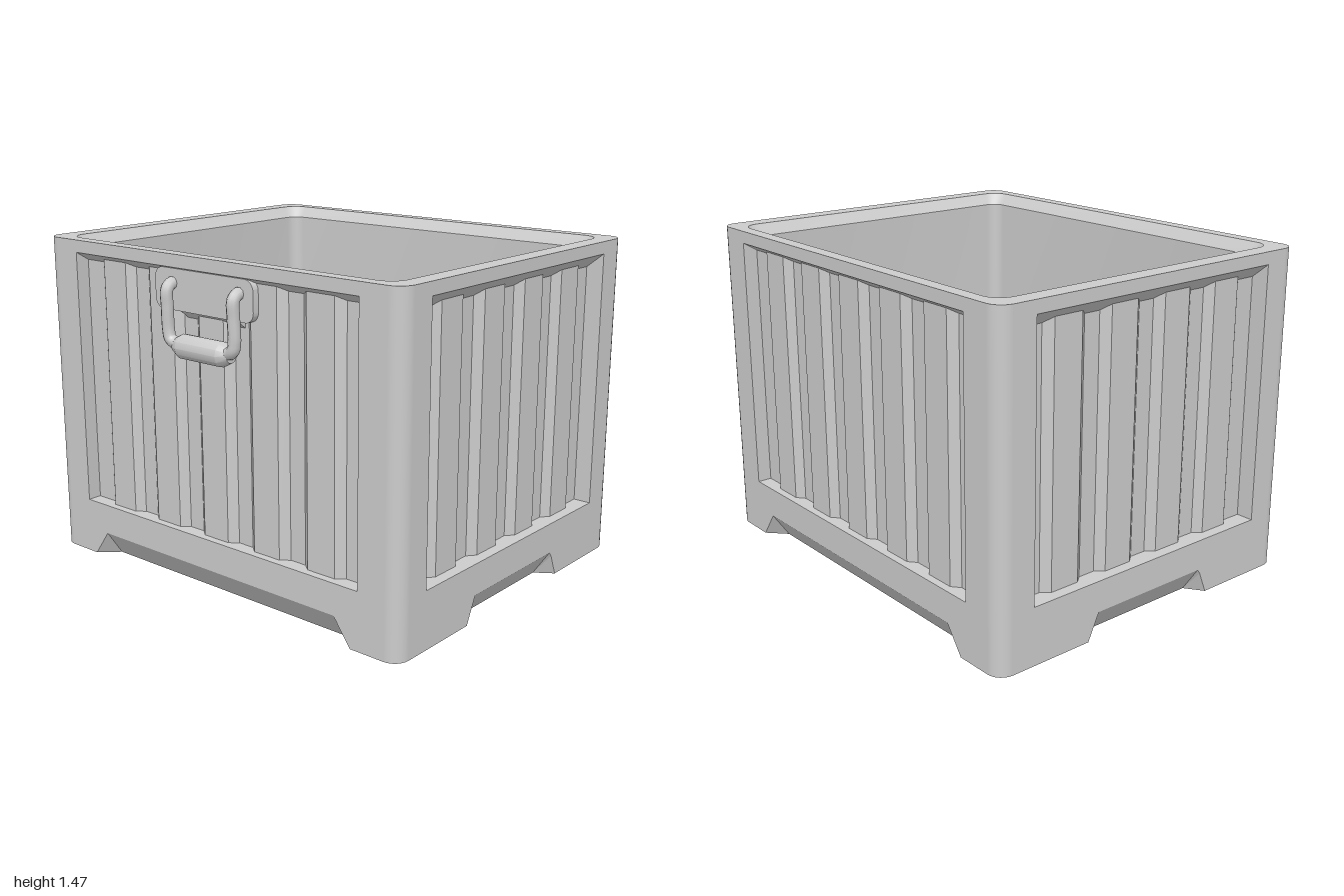
import * as THREE from 'three';
import { toCreasedNormals } from 'three/addons/utils/BufferGeometryUtils.js';

const HX = 1, HZ = 0.8175, H = 1.465, R = 0.07, ZC = -0.0325;
const PANEL_B = 0.255, PANEL_T = 1.41, NOTCH_H = 0.117, NOTCH_D = 0.08;
const mat = new THREE.MeshStandardMaterial({ color: 0xcccccc });

// The two wall types: half width, distance from centre, panel, ribs and foot notch
const LONG = { half: HX, dist: HZ, panel: 0.8, ribs: 5, deep: 0.065, rib: 0.035, slope: 0.6, w0: 0.765, w1: 0.68 };
const SHORT = { half: HZ, dist: HX, panel: 0.64, ribs: 4, deep: 0.08, rib: 0.05, slope: 0.8, w0: 0.35, w1: 0.295 };
const WALLS = [['front', LONG], ['left', SHORT], ['back', LONG], ['right', SHORT]];

function mesh(name, geo) {
  const m = new THREE.Mesh(geo, mat);
  m.name = name;
  return m;
}

// Flat polygons (3 or 4 corners, counter-clockwise from the front) to a geometry
function faces(list) {
  const pos = [];
  for (const f of list) for (let i = 1; i < f.length - 1; i++) pos.push(...f[0], ...f[i], ...f[i + 1]);
  const g = new THREE.BufferGeometry();
  g.setAttribute('position', new THREE.Float32BufferAttribute(pos, 3));
  g.computeVertexNormals();
  return g;
}

// Rounded rectangle as [x, z] points, optionally with the foot notches cut out
function loop(hx, hz, r, notched) {
  const pts = [];
  WALLS.forEach(([, w], k) => {
    const a = k * Math.PI / 2, [U, V] = k % 2 ? [hz, hx] : [hx, hz];
    const add = (u, v) => pts.push([u * Math.cos(a) + v * Math.sin(a), -u * Math.sin(a) + v * Math.cos(a)]);
    if (notched) {
      add(-w.w0, V); add(-w.w1, V - NOTCH_D); add(w.w1, V - NOTCH_D); add(w.w0, V);
    }
    for (let i = 0; i <= 6; i++) {
      const t = i * Math.PI / 12;
      add(U - r + r * Math.sin(t), V - r + r * Math.cos(t));
    }
  });
  return pts;
}
const toVectors = pts => pts.map(([x, z]) => new THREE.Vector2(x, z));

// One outer wall, built facing +z
function wall(name, w) {
  const g = new THREE.Group();
  g.name = name + 'Wall';
  const e = w.half - R, p = w.panel;

  // Flat frame with panel opening and foot notch
  const s = new THREE.Shape(toVectors([[-e, 0], [-w.w0, 0], [-w.w1 - 0.015, NOTCH_H - 0.02], [-w.w1, NOTCH_H],
    [w.w1, NOTCH_H], [w.w1 + 0.015, NOTCH_H - 0.02], [w.w0, 0], [e, 0], [e, H], [-e, H]]));
  s.holes.push(new THREE.Path(toVectors([[-p, PANEL_B], [-p, PANEL_T], [p, PANEL_T], [p, PANEL_B]])));
  g.add(mesh('wallFrame', new THREE.ShapeGeometry(s)));

  // Corrugated panel with sloping soffit, ledge and side reveals
  const prof = [[-p, w.deep]];
  for (let i = 0; i < w.ribs; i++) {
    const c = (i - (w.ribs - 1) / 2) * 0.293;
    prof.push([c - 0.107, w.deep], [c - 0.07, w.rib], [c + 0.07, w.rib], [c + 0.107, w.deep]);
  }
  prof.push([p, w.deep]);
  const top = d => PANEL_T - d * w.slope;
  const panel = [], edge = [];
  for (let i = 0; i < prof.length - 1; i++) {
    const [a, da] = prof[i], [b, db] = prof[i + 1];
    panel.push([[a, PANEL_B, -da], [b, PANEL_B, -db], [b, top(db), -db], [a, top(da), -da]]);
    edge.push([[a, PANEL_T, 0], [a, top(da), -da], [b, top(db), -db], [b, PANEL_T, 0]]);
    edge.push([[a, PANEL_B, 0], [b, PANEL_B, 0], [b, PANEL_B, -db], [a, PANEL_B, -da]]);
  }
  for (const sx of [-1, 1]) {
    const q = [[sx * p, PANEL_B, 0], [sx * p, PANEL_B, -w.deep], [sx * p, top(w.deep), -w.deep], [sx * p, PANEL_T, 0]];
    edge.push(sx < 0 ? q : q.reverse());
  }
  g.add(mesh('corrugatedPanel', faces(panel)), mesh('panelReveal', faces(edge)));

  // Sloping back and ends of the foot notch
  const notch = [[[-w.w1, 0, -NOTCH_D], [w.w1, 0, -NOTCH_D], [w.w1, NOTCH_H, 0], [-w.w1, NOTCH_H, 0]]];
  for (const sx of [-1, 1]) {
    const t = [[sx * w.w0, 0, 0], [sx * w.w1, 0, -NOTCH_D], [sx * w.w1, NOTCH_H, 0],
      [sx * (w.w1 + 0.015), NOTCH_H - 0.02, 0]];
    notch.push(sx < 0 ? t : t.reverse());
  }
  g.add(mesh('footNotch', faces(notch)));
  return g;
}

function createHandle() {
  const g = new THREE.Group();
  g.name = 'handle';

  // Backing plate with rounded corners, set in the panel recess
  const x0 = -0.294, x1 = 0.267, y0 = 1.23, y1 = 1.405, r = 0.045;
  const s = new THREE.Shape();
  s.absarc(x1 - r, y1 - r, r, 0, Math.PI / 2);
  s.absarc(x0 + r, y1 - r, r, Math.PI / 2, Math.PI);
  s.absarc(x0 + r, y0 + r, r, Math.PI, Math.PI * 1.5);
  s.absarc(x1 - r, y0 + r, r, Math.PI * 1.5, Math.PI * 2);
  const plate = new THREE.ExtrudeGeometry(s, { depth: 0.07, bevelEnabled: false, curveSegments: 6 });
  plate.translate(0, 0, 0.71);
  g.add(mesh('handlePlate', toCreasedNormals(plate, 0.6)));

  // Sloping lip under the plate
  const lip = new THREE.ExtrudeGeometry(new THREE.Shape(toVectors([[-0.775, 1.235], [-0.71, 1.235], [-0.71, 1.185]])),
    { depth: 0.33, bevelEnabled: false });
  lip.rotateY(Math.PI / 2).translate(-0.165, 0, 0);
  g.add(mesh('plateLip', lip));

  // Bent bail: legs turn into the plate at the top and into the grip below
  const half = [[0.19, 1.34, 0.75], [0.19, 1.343, 0.79], [0.19, 1.32, 0.813], [0.19, 1.25, 0.813],
    [0.19, 1.15, 0.81], [0.18, 1.115, 0.81], [0.15, 1.1, 0.805]];
  const path = [...half, ...half.slice().reverse().map(([x, y, z]) => [-x, y, z])];
  const curve = new THREE.CatmullRomCurve3(path.map(q => new THREE.Vector3(...q)), false, 'centripetal');
  g.add(mesh('handleBail', new THREE.TubeGeometry(curve, 80, 0.027, 10)));

  // Thick grip with tapered ends
  const grip = new THREE.LatheGeometry(toVectors([[0, -0.16], [0.03, -0.16], [0.053, -0.115], [0.053, 0.115],
    [0.03, 0.16], [0, 0.16]]), 12);
  grip.rotateZ(Math.PI / 2).translate(0, 1.09, 0.797);
  g.add(mesh('handleGrip', toCreasedNormals(grip, 0.6)));
  return g;
}

export function createModel() {
  const model = new THREE.Group();
  model.name = 'storageBin';
  const body = new THREE.Group();
  body.name = 'body';
  body.position.z = ZC;
  model.add(body);

  // Four walls and the rounded corner posts between them
  WALLS.forEach(([name, w], k) => {
    const a = k * Math.PI / 2;
    const g = wall(name, w);
    g.rotation.y = a;
    g.position.set(Math.sin(a) * w.dist, 0, Math.cos(a) * w.dist);
    body.add(g);
    const post = mesh('cornerPost', new THREE.CylinderGeometry(R, R, H, 6, 1, true, a, Math.PI / 2));
    post.position.set((k < 2 ? 1 : -1) * (HX - R), H / 2, (k % 3 === 0 ? 1 : -1) * (HZ - R));
    body.add(post);
  });

  // Rim, underside and floor
  const lipLoop = loop(HX - 0.083, HZ - 0.06, 0.08), innerLoop = loop(HX - 0.123, HZ - 0.1, 0.06);
  const rim = new THREE.Shape(toVectors(loop(HX, HZ, R)));
  rim.holes.push(new THREE.Path(toVectors(lipLoop)));
  body.add(mesh('rim', new THREE.ShapeGeometry(rim).rotateX(-Math.PI / 2).translate(0, H, 0)));
  const under = new THREE.Shape(toVectors(loop(HX, HZ, R, true)));
  body.add(mesh('underside', new THREE.ShapeGeometry(under).rotateX(Math.PI / 2)));
  const floorY = 0.13;
  const floor = new THREE.Shape(toVectors(innerLoop));
  body.add(mesh('floor', new THREE.ShapeGeometry(floor).rotateX(-Math.PI / 2).translate(0, floorY, 0)));

  // Chamfered lip and inner walls
  const rings = [[lipLoop, H], [innerLoop, H - 0.05], [innerLoop, floorY]];
  const inner = [];
  for (let k = 0; k < 2; k++) {
    const [A, ya] = rings[k], [B, yb] = rings[k + 1];
    A.forEach((p, i) => {
      const j = (i + 1) % A.length;
      inner.push([[p[0], ya, p[1]], [A[j][0], ya, A[j][1]], [B[j][0], yb, B[j][1]], [B[i][0], yb, B[i][1]]]);
    });
  }
  body.add(mesh('innerWalls', toCreasedNormals(faces(inner), 0.6)));

  model.add(createHandle());
  return model;
}
